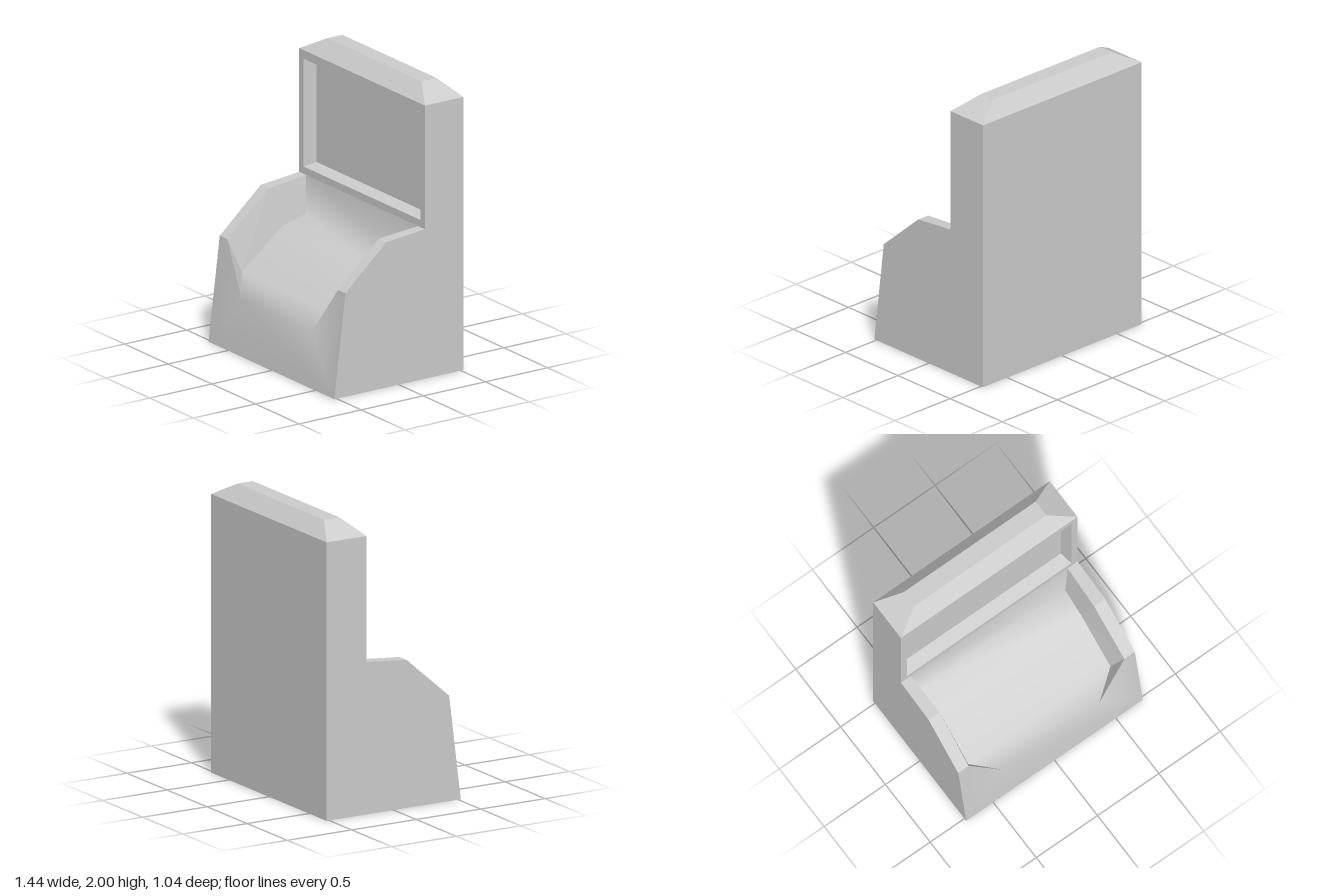
import * as THREE from 'three';

const material = new THREE.MeshStandardMaterial({ color: 0xcccccc });
const W = 0.72, BACK = -0.52, FACE = -0.21;

function addMesh(parent, name, geometry) {
  const mesh = new THREE.Mesh(geometry, material);
  mesh.name = name;
  parent.add(mesh);
  return mesh;
}

// Flat-shaded geometry from convex polygons (corners counter-clockwise)
function flatFaces(faces) {
  const p = [];
  for (const f of faces) {
    for (let i = 1; i < f.length - 1; i++) p.push(...f[0], ...f[i], ...f[i + 1]);
  }
  const g = new THREE.BufferGeometry();
  g.setAttribute('position', new THREE.Float32BufferAttribute(p, 3));
  g.computeVertexNormals();
  return g;
}

const flip = ([x, y, z]) => [-x, y, z];
const withMirror = (faces) => [...faces, ...faces.map((f) => f.map(flip).reverse())];

// Walls joining two rings, closed by the second ring
const loft = (a, b) => [...a.map((p, i) => {
  const j = (i + 1) % a.length;
  return [p, a[j], b[j], b[i]];
}), b];

const rectXY = (w, lo, hi, z) => [[-w, lo, z], [w, lo, z], [w, hi, z], [-w, hi, z]];
const rectXZ = (w, front, back, y) => [[-w, y, front], [w, y, front], [w, y, back], [-w, y, back]];

export function createModel() {
  const model = new THREE.Group();
  model.name = 'arcadeCabinet';

  // Side walls: profile drawn as (z, y)
  const profile = [[0.52, 0], [0.43, 0.72], [0.1, 1.01], [FACE, 1.04], [FACE, 1.9], [BACK, 1.9], [BACK, 0]];
  const sideShape = new THREE.Shape(profile.map(([z, y]) => new THREE.Vector2(-z, y)));
  for (const s of [1, -1]) {
    const g = new THREE.ShapeGeometry(sideShape);
    if (s < 0) {
      g.scale(-1, 1, 1);
      g.index.array.reverse();
      g.computeVertexNormals();
    }
    g.rotateY(s * Math.PI / 2);
    addMesh(model, s > 0 ? 'leftSide' : 'rightSide', g).position.x = s * W;
  }

  // Back and underside
  addMesh(model, 'backPanel', flatFaces([[[W, 0, BACK], [-W, 0, BACK], [-W, 1.9, BACK], [W, 1.9, BACK]]]));
  addMesh(model, 'underside', flatFaces([rectXZ(W, 0.52, BACK, 0).reverse()]));

  // Bevelled top
  addMesh(model, 'topCap', flatFaces(loft(rectXZ(W, FACE, BACK, 1.9), rectXZ(0.54, -0.31, -0.43, 2))));

  // Screen frame and sunken screen
  const toPath = (ring) => ring.map(([x, y]) => new THREE.Vector2(x, y));
  const opening = rectXY(0.67, 1.09, 1.84, FACE);
  const frame = new THREE.Shape(toPath(rectXY(W, 1.04, 1.9, FACE)));
  frame.holes.push(new THREE.Path(toPath(opening)));
  addMesh(model, 'screenFrame', new THREE.ShapeGeometry(frame)).position.z = FACE;
  addMesh(model, 'screen', flatFaces(loft(opening, rectXY(0.65, 1.11, 1.825, FACE - 0.09))));

  // Scooped control deck flowing smoothly into the front panel
  const rail = [[0.64, 1.04, FACE], [0.63, 1.01, 0.1], [0.635, 0.72, 0.43]];
  const floor = [[0.59, 0.79, -0.17], [0.58, 0.75, 0.02], [0.58, 0.49, 0.35]];
  const tip = [0.4, 0.37, 0.475];
  const rows = [rail[0], ...floor, tip, [W, 0, 0.52], [W, 0.72, 0.43], rail[2]];
  const index = [];
  for (let k = 0; k < 5; k++) {
    const l = 2 * k, r = l + 1;
    index.push(l, l + 2, r + 2, l, r + 2, r);
  }
  index.push(9, 11, 13, 9, 13, 15, 8, 12, 10, 8, 14, 12);
  const deck = new THREE.BufferGeometry();
  deck.setAttribute('position', new THREE.Float32BufferAttribute(rows.flatMap((p) => [...flip(p), ...p]), 3));
  deck.setIndex(index);
  deck.computeVertexNormals();
  addMesh(model, 'controlDeckAndFront', deck);

  // Rails beside the deck: top faces, inner walls and front lips
  const tops = [], walls = [[rail[2], floor[2], tip], [rail[0], floor[0], rail[1]], [floor[0], floor[1], rail[1]],
    [floor[1], floor[2], rail[2], rail[1]]];
  for (let k = 0; k < 2; k++) {
    const [a, b] = [rail[k], rail[k + 1]];
    tops.push([a, b, [W, b[1], b[2]], [W, a[1], a[2]]]);
  }
  addMesh(model, 'railTops', flatFaces(withMirror(tops)));
  addMesh(model, 'railInnerWalls', flatFaces(withMirror(walls)));

  return model;
}
